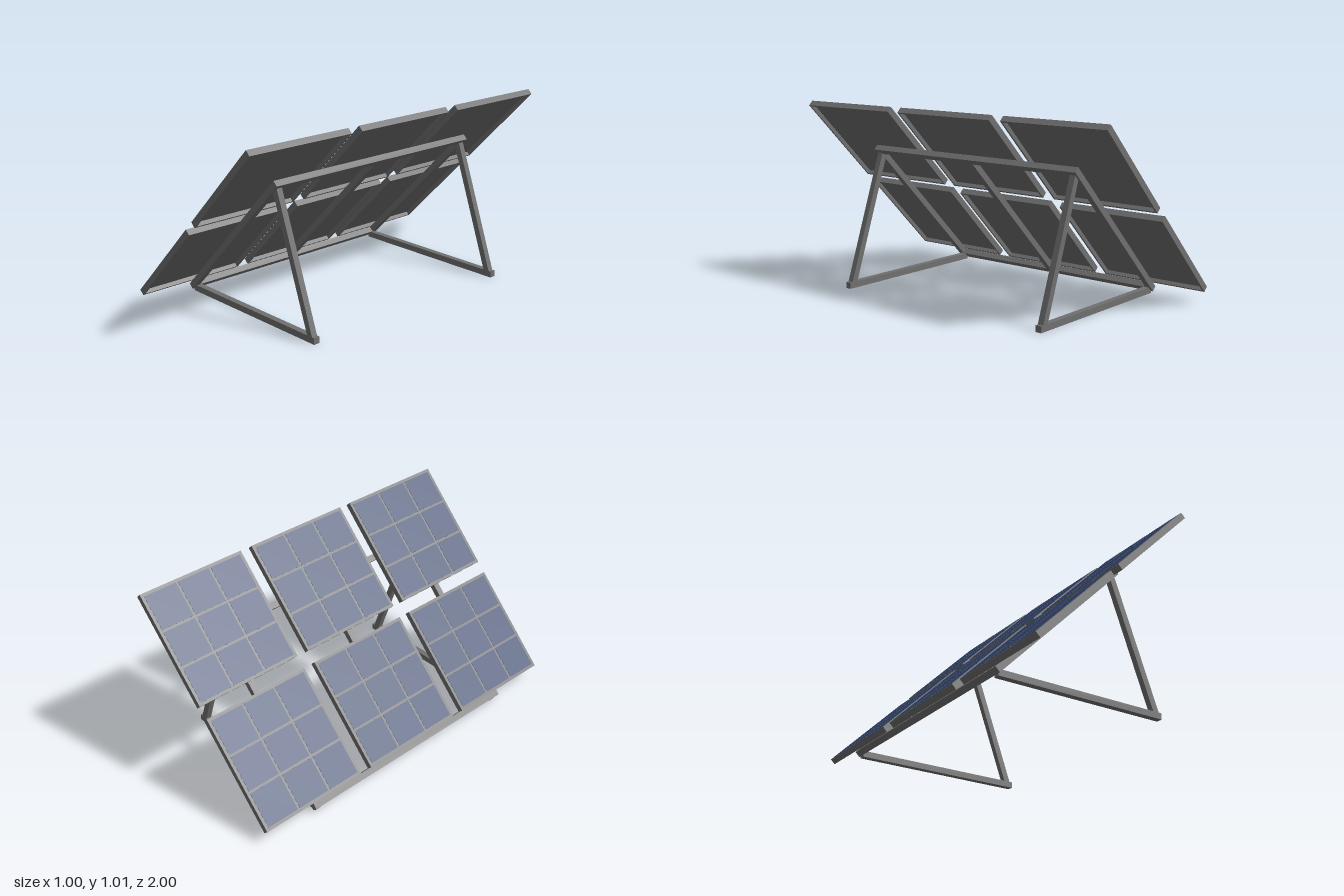
import * as THREE from 'three';

const metal = new THREE.MeshStandardMaterial({ color: 0x707070 });
metal.name = 'grey metal';
const blue = new THREE.MeshStandardMaterial({ color: 0x36486f });
blue.name = 'cell blue';

const TUBE = 0.034;    // square tube section
const SIZE = 0.62;     // panel side
const DEPTH = 0.034;   // panel thickness
const RIM = 0.01;

function box(name, w, h, d, x, y, z, material = metal) {
  const mesh = new THREE.Mesh(new THREE.BoxGeometry(w, h, d), material);
  mesh.name = name;
  mesh.position.set(x, y, z);
  return mesh;
}

function square(Type, half) {
  const s = new Type();
  s.moveTo(-half, -half);
  s.lineTo(half, -half);
  s.lineTo(half, half);
  s.lineTo(-half, half);
  s.closePath();
  return s;
}

// Tray-shaped panel: rim open at the back, plate near the top, 3 x 3 cells
function createPanel() {
  const panel = new THREE.Group();
  panel.name = 'solarPanel';

  const outline = square(THREE.Shape, SIZE / 2);
  outline.holes.push(square(THREE.Path, SIZE / 2 - RIM));
  const rimGeometry = new THREE.ExtrudeGeometry(outline, { depth: DEPTH, bevelEnabled: false });
  rimGeometry.rotateX(-Math.PI / 2);
  const rim = new THREE.Mesh(rimGeometry, metal);
  rim.name = 'panelRim';
  panel.add(rim);

  const inner = SIZE - 2 * RIM;
  panel.add(box('backPlate', inner, 0.012, inner, 0, DEPTH - 0.006, 0));

  const cell = 0.187, pitch = 0.2;
  for (let i = -1; i <= 1; i++) {
    for (let j = -1; j <= 1; j++) {
      panel.add(box('solarCell', cell, 0.003, cell, i * pitch, DEPTH, j * pitch, blue));
    }
  }
  return panel;
}

export function createModel() {
  const model = new THREE.Group();
  model.name = 'solarArray';

  // Tilted part: local x runs up the slope, local y points out of the panels
  const slope = new THREE.Group();
  slope.name = 'tiltedFrame';
  slope.position.set(-0.5, 0.035, 0);
  slope.rotation.z = Math.PI / 4;
  model.add(slope);

  const length = 1.035, width = 1.376;
  slope.add(box('bottomBeam', TUBE, TUBE, width, TUBE / 2, -TUBE / 2, 0));
  slope.add(box('topBeam', TUBE, TUBE, width, length - TUBE / 2, -TUBE / 2, 0));
  for (const side of [-1, 0, 1]) {
    slope.add(box('slopeRail', length - 2 * TUBE, TUBE, TUBE,
      length / 2, -TUBE / 2, side * (width - TUBE) / 2));
  }

  // Two rows of three panels
  for (const start of [0.035, 0.724]) {
    for (const column of [-1, 0, 1]) {
      const panel = createPanel();
      panel.position.set(start + SIZE / 2, 0, column * 0.69);
      slope.add(panel);
    }
  }

  // Ground bars and back legs
  const top = new THREE.Vector2(0.219, 0.73);
  const foot = new THREE.Vector2(0.474, 0.012);
  const run = foot.clone().sub(top);
  for (const side of [-1, 1]) {
    const z = side * 0.658;
    model.add(box('groundBar', 0.975, TUBE, TUBE, 0.0125, TUBE / 2, z));
    const leg = box('backLeg', run.length(), TUBE, 0.033,
      (top.x + foot.x) / 2, (top.y + foot.y) / 2, z);
    leg.rotation.z = Math.atan2(run.y, run.x);
    model.add(leg);
  }
  return model;
}
